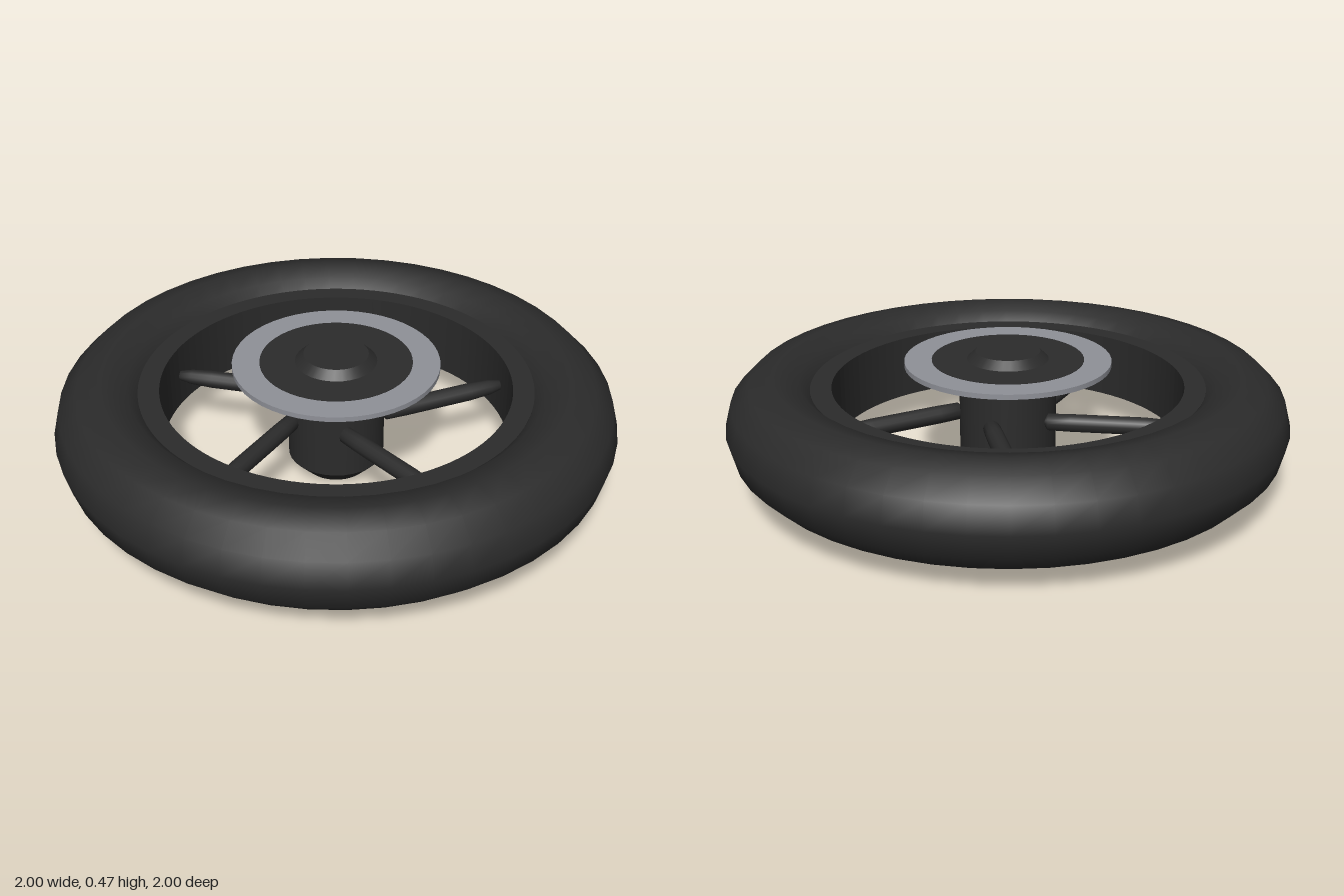
import * as THREE from 'three';

const MID = 0.235; // height of the wheel's centre plane

export function createModel() {
  const wheel = new THREE.Group();
  wheel.name = 'wheel';

  const black = new THREE.MeshStandardMaterial({ color: 0x2b2b2b });
  black.name = 'black rubber';
  const grey = new THREE.MeshStandardMaterial({ color: 0x8f9198 });
  grey.name = 'brake grey';

  const add = (name, geometry, material, y = 0) => {
    const mesh = new THREE.Mesh(geometry, material);
    mesh.name = name;
    mesh.position.y = y;
    wheel.add(mesh);
    return mesh;
  };

  // Tyre
  const tyre = new THREE.TorusGeometry(0.823, 0.175, 12, 48);
  tyre.rotateX(Math.PI / 2);
  add('tyre', tyre, black, MID);

  // Rim: a flat-edged ring set into the tyre
  const ringShape = new THREE.Shape().absarc(0, 0, 0.7, 0, Math.PI * 2);
  ringShape.holes.push(new THREE.Path().absarc(0, 0, 0.625, 0, Math.PI * 2, true));
  const rim = new THREE.ExtrudeGeometry(ringShape, { depth: 0.236, bevelEnabled: false, curveSegments: 48 });
  rim.translate(0, 0, -0.118);
  rim.rotateX(Math.PI / 2);
  add('rim', rim, black, MID);

  // Hub: a barrel with a bevelled cap at each end
  add('hubBarrel', new THREE.CylinderGeometry(0.173, 0.173, 0.35, 32, 1, true), black, MID);
  add('hubTopCap', new THREE.CylinderGeometry(0.115, 0.173, 0.055, 32), black, 0.4375);
  add('hubBottomCap', new THREE.CylinderGeometry(0.173, 0.115, 0.06, 32), black, 0.03);

  // Brake disc with its dark carrier
  add('brakeDisc', new THREE.CylinderGeometry(0.367, 0.367, 0.018, 48), grey, 0.426);
  add('discCarrier', new THREE.CylinderGeometry(0.27, 0.27, 0.021, 48), black, 0.426);

  // Five slanted spokes, tapering to the rim
  const profile = [
    [0, 0], [0.03, 0.02], [0.032, 0.1], [0.032, 0.36], [0.027, 0.44], [0.018, 0.485], [0, 0.495],
  ].map(([r, y]) => new THREE.Vector2(r, y));
  const spokeGeometry = new THREE.LatheGeometry(profile, 12);
  const inner = new THREE.Vector3(-0.077, 0, 0.14);
  const outer = new THREE.Vector3(-0.04, 0, 0.635);
  const tilt = new THREE.Quaternion().setFromUnitVectors(
    new THREE.Vector3(0, 1, 0), outer.clone().sub(inner).normalize());
  for (let i = 0; i < 5; i++) {
    const spoke = new THREE.Group();
    spoke.name = 'spoke' + (i + 1);
    spoke.position.y = MID;
    spoke.rotation.y = (i * Math.PI * 2) / 5;
    const bar = new THREE.Mesh(spokeGeometry, black);
    bar.name = 'spokeBar';
    bar.position.copy(inner);
    bar.quaternion.copy(tilt);
    spoke.add(bar);
    wheel.add(spoke);
  }

  return wheel;
}
